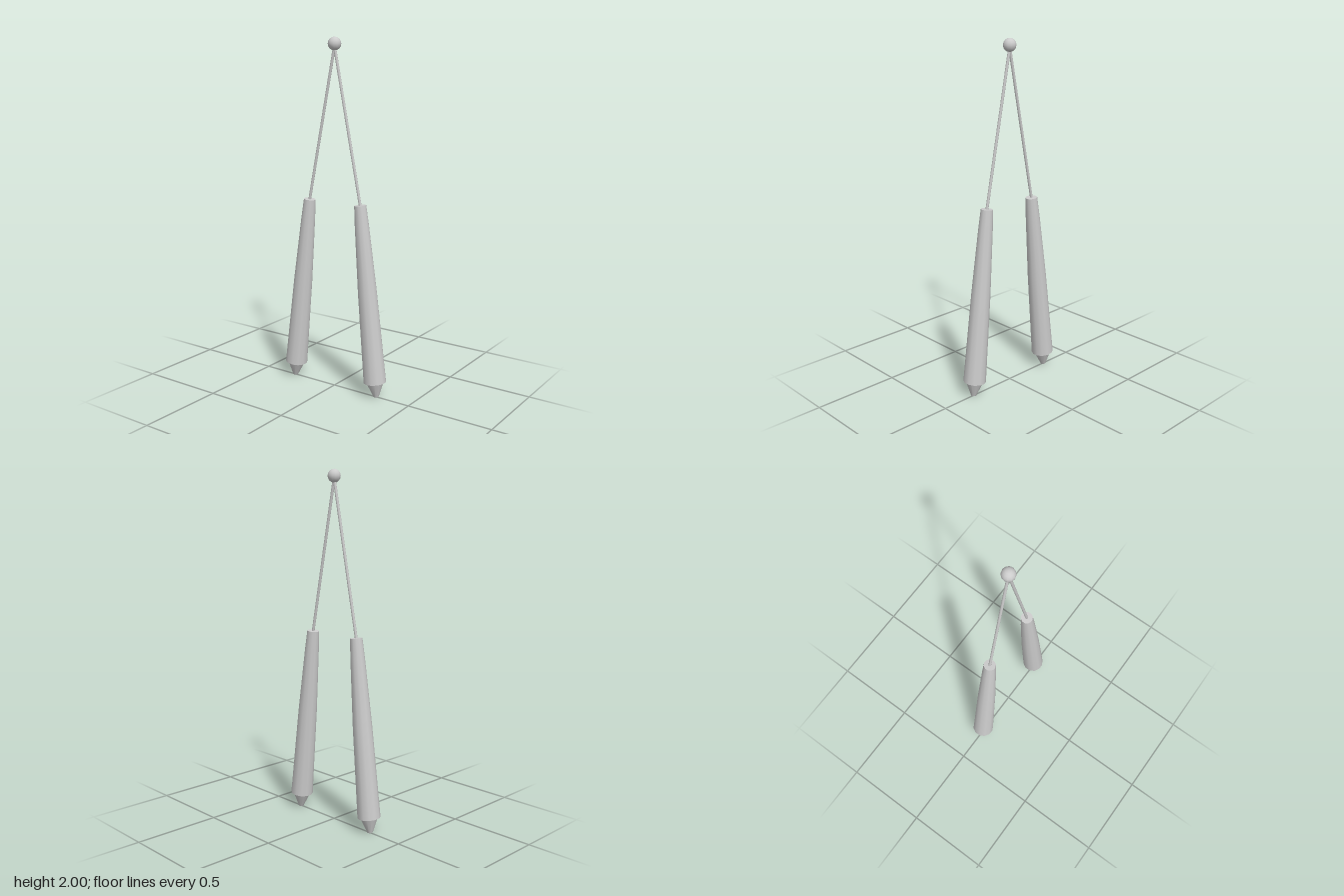
import * as THREE from 'three';

const SIDES = 12;

export function createModel() {
  const model = new THREE.Group();
  model.name = 'skippingRope';
  const grey = new THREE.MeshStandardMaterial({ color: 0xcccccc });
  grey.name = 'light grey';

  const add = (parent, name, geometry, y = 0) => {
    const mesh = new THREE.Mesh(geometry, grey);
    mesh.name = name;
    mesh.position.y = y;
    parent.add(mesh);
    return mesh;
  };

  // Group whose local y axis runs from one point up to another
  const between = (name, from, to) => {
    const group = new THREE.Group();
    group.name = name;
    group.position.copy(from);
    group.quaternion.setFromUnitVectors(
      new THREE.Vector3(0, 1, 0), to.clone().sub(from).normalize());
    model.add(group);
    return group;
  };

  // Ball joining the two cords
  add(model, 'ball', new THREE.SphereGeometry(0.037, SIDES, 8), 1.963);

  for (const side of [-1, 1]) {
    const prefix = side > 0 ? 'left' : 'right';
    const base = new THREE.Vector3(side * 0.28, 0.088, 0);
    const top = new THREE.Vector3(side * 0.173, 1.093, 0);
    const apex = new THREE.Vector3(0, 1.95, 0);
    const length = base.distanceTo(top);

    // Slightly swelling handle, closed with flat ends
    const handle = between(prefix + 'Handle', base, top);
    const profile = [[0.065, 0], [0.063, 0.08], [0.054, 0.52], [0.04, 0.9], [0.034, length]]
      .map(([r, y]) => new THREE.Vector2(r, y));
    const turn = Math.PI / SIDES;
    add(handle, 'grip', new THREE.LatheGeometry(profile, SIDES, turn));
    add(handle, 'gripTop', new THREE.CircleGeometry(0.034, SIDES, turn).rotateX(-Math.PI / 2), length);
    add(handle, 'gripBottom', new THREE.CircleGeometry(0.065, SIDES, turn).rotateX(Math.PI / 2));

    // Tapered tip below the grip
    add(handle, 'tip', new THREE.CylinderGeometry(0.051, 0.015, 0.087, SIDES), -0.0435);

    // Thin cord from the grip to the ball
    const cord = between(prefix + 'Cord', top, apex);
    const cordLength = top.distanceTo(apex);
    add(cord, 'cord', new THREE.CylinderGeometry(0.008, 0.008, cordLength, 8), cordLength / 2);
  }
  return model;
}
